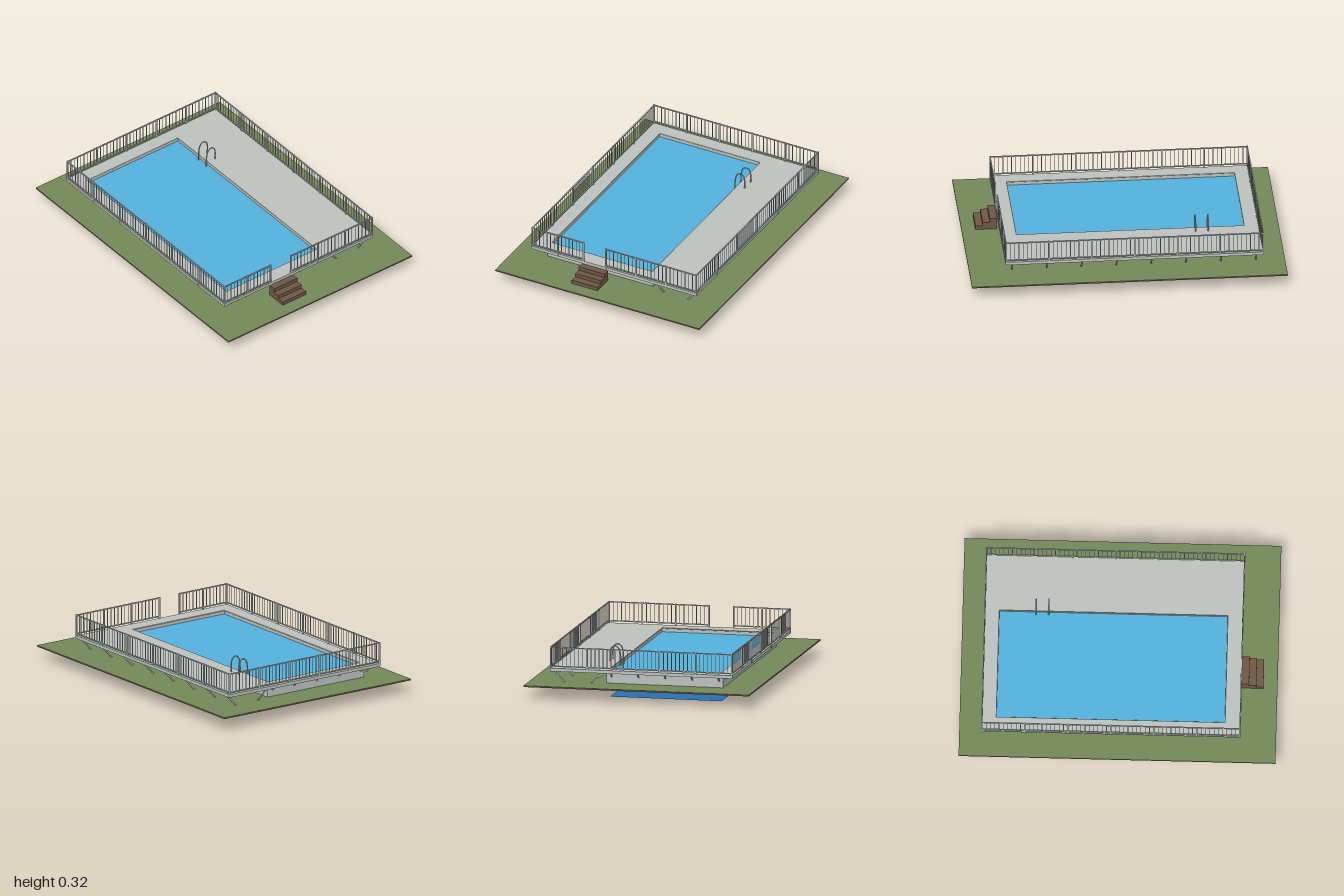
import * as THREE from 'three';

const mat = (name, color) => Object.assign(new THREE.MeshStandardMaterial({ color }), { name });

export function createModel() {
  const grass = mat('grass green', 0x738859);
  const brown = mat('earth and wood brown', 0x6f5845);
  const deckGrey = mat('deck grey', 0xbec2be);
  const wallGrey = mat('wall grey', 0xbdc1bf);
  const metal = mat('railing metal', 0xc4c8c8);
  const liner = mat('pool liner', 0xd4d8d8);
  const floorBlue = mat('pool floor blue', 0x2a70b0);
  const waterBlue = mat('water blue', 0x54b1dd);
  for (const m of [liner, floorBlue, waterBlue]) m.side = THREE.DoubleSide;

  const model = new THREE.Group();
  model.name = 'raisedPool';
  const group = (name, parent = model) => {
    const g = new THREE.Group();
    g.name = name;
    parent.add(g);
    return g;
  };
  const add = (name, geo, material, parent = model) => {
    const m = new THREE.Mesh(geo, material);
    m.name = name;
    parent.add(m);
    return m;
  };
  // Box given by its limits on each axis
  const box = (name, x0, x1, y0, y1, z0, z1, material, parent) => {
    const m = add(name, new THREE.BoxGeometry(x1 - x0, y1 - y0, z1 - z0), material, parent);
    m.position.set((x0 + x1) / 2, (y0 + y1) / 2, (z0 + z1) / 2);
  };
  // Bar between two points, square or round
  const bar = (name, a, b, size, material, parent, round = false) => {
    const p = new THREE.Vector3(...a), q = new THREE.Vector3(...b), len = p.distanceTo(q);
    const geo = round
      ? new THREE.CylinderGeometry(size / 2, size / 2, len, 12).rotateX(Math.PI / 2)
      : new THREE.BoxGeometry(size, size, len);
    const m = add(name, geo, material, parent);
    m.position.copy(p).lerp(q, 0.5);
    m.lookAt(q);
  };

  // Pool opening
  const PX0 = -0.5, PX1 = 0.222, PZ0 = -0.77, PZ1 = 0.678;
  const rect = (P, x0, x1, z0, z1) => {
    const p = new P();
    p.moveTo(x0, z0).lineTo(x1, z0).lineTo(x1, z1).lineTo(x0, z1).closePath();
    return p;
  };
  // Flat slab with the pool opening cut out
  const slab = (name, x0, x1, z0, z1, y0, y1, material) => {
    const s = rect(THREE.Shape, x0, x1, z0, z1);
    s.holes.push(rect(THREE.Path, PX0, PX1, PZ0, PZ1));
    const geo = new THREE.ExtrudeGeometry(s, { depth: y1 - y0, bevelEnabled: false });
    geo.rotateX(Math.PI / 2);
    add(name, geo, material).position.y = y1;
  };
  slab('groundEarth', -0.73, 0.73, -1, 1, 0.081, 0.088, brown);
  slab('groundGrass', -0.73, 0.73, -1, 1, 0.088, 0.09, grass);
  slab('poolWall', -0.515, 0.24, -0.79, 0.7, 0.09, 0.163, wallGrey);
  slab('deck', -0.59, 0.59, -0.86, 0.775, 0.163, 0.183, deckGrey);

  // Basin: floor and water sheets
  const W = PX1 - PX0, L = PZ1 - PZ0, CX = (PX0 + PX1) / 2, CZ = (PZ0 + PZ1) / 2;
  for (const [name, y, material] of [['poolFloor', 0, floorBlue], ['water', 0.157, waterBlue]]) {
    const sheet = add(name, new THREE.PlaneGeometry(W, L), material);
    sheet.rotation.x = -Math.PI / 2;
    sheet.position.set(CX, y, CZ);
  }

  // Liner panels inside the wall
  const basin = group('poolEdge');
  const e = 0.001;
  for (const [x, z, len, turn] of [
    [CX, PZ0 + e, W, 0], [PX0 + e, CZ, L, Math.PI / 2],
    [CX, PZ1 - e, W, Math.PI], [PX1 - e, CZ, L, -Math.PI / 2],
  ]) {
    const panel = add('linerPanel', new THREE.PlaneGeometry(len, 0.067), liner, basin);
    panel.position.set(x, 0.1235, z);
    panel.rotation.y = turn;
  }
  // Round coping along the deck edge
  const corners = [[PX0, PZ0], [PX1, PZ0], [PX1, PZ1], [PX0, PZ1]];
  corners.forEach(([x, z], i) => {
    const [nx, nz] = corners[(i + 1) % 4];
    bar('coping', [x, 0.18, z], [nx, 0.18, nz], 0.007, deckGrey, basin, true);
  });

  // Railing runs with evenly spaced posts and balusters
  const railing = group('railing');
  const run = (a, b, segments) => {
    const g = group('railingRun', railing);
    const at = t => [a[0] + (b[0] - a[0]) * t, a[1] + (b[1] - a[1]) * t];
    const length = Math.hypot(b[0] - a[0], b[1] - a[1]);
    const per = Math.round(length / segments / 0.026);
    for (const [n, y] of [['topRail', 0.317], ['bottomRail', 0.196]])
      bar(n, [a[0], y, a[1]], [b[0], y, b[1]], 0.007, metal, g);
    for (let i = 0; i <= segments * per; i++) {
      const [x, z] = at(i / (segments * per));
      if (i % per === 0) box('post', x - 0.0045, x + 0.0045, 0.168, 0.322, z - 0.0045, z + 0.0045, metal, g);
      else box('baluster', x - 0.0018, x + 0.0018, 0.196, 0.317, z - 0.0018, z + 0.0018, metal, g);
    }
  };
  const RX = 0.587, RB = -0.857, RF = 0.772;
  run([-RX, RB], [RX, RB], 5);
  run([-RX, RB], [-RX, RF], 6);
  run([RX, RB], [RX, RF], 6);
  run([-RX, RF], [-0.22, RF], 2);
  run([-0.06, RF], [RX, RF], 3);

  // Struts under the deck
  const supports = group('deckSupports');
  for (let i = 0; i < 8; i++) {
    const z = 0.73 - i * 0.2207;
    bar('wideStrut', [0.26, 0.163, z], [0.333, 0.09, z], 0.008, metal, supports);
    bar('wideStrut', [0.575, 0.163, z], [0.505, 0.09, z], 0.008, metal, supports);
    bar('sideBracket', [-0.555, 0.165, z], [-0.515, 0.131, z], 0.007, metal, supports);
  }
  for (let i = 0; i < 5; i++) {
    const x = -0.49 + i * 0.174;
    bar('frontBracket', [x, 0.165, 0.74], [x, 0.133, 0.7], 0.007, metal, supports);
    bar('backBracket', [x, 0.165, -0.83], [x, 0.133, -0.79], 0.007, metal, supports);
  }

  // Wooden entry steps
  const steps = group('steps');
  for (let i = 0; i < 3; i++) {
    const z0 = 0.775 + i * 0.0455;
    box('step', -0.23, -0.045, 0.09, 0.163 - i * 0.0245, z0, z0 + 0.0455, brown, steps);
  }

  // Pool ladder: two arched handrails with rungs
  const ladder = group('ladder');
  const path = [[0.276, 0.18], [0.277, 0.24], [0.267, 0.27], [0.245, 0.282], [0.222, 0.268],
    [0.211, 0.235], [0.207, 0.18], [0.207, 0.06], [0.21, 0.035], [0.217, 0.021]];
  for (const z of [-0.535, -0.455]) {
    const curve = new THREE.CatmullRomCurve3(path.map(([x, y]) => new THREE.Vector3(x, y, z)));
    add('ladderRail', new THREE.TubeGeometry(curve, 64, 0.004, 12), metal, ladder);
  }
  for (const y of [0.065, 0.115])
    box('ladderRung', 0.2, 0.214, y - 0.003, y + 0.003, -0.535, -0.455, metal, ladder);

  return model;
}
